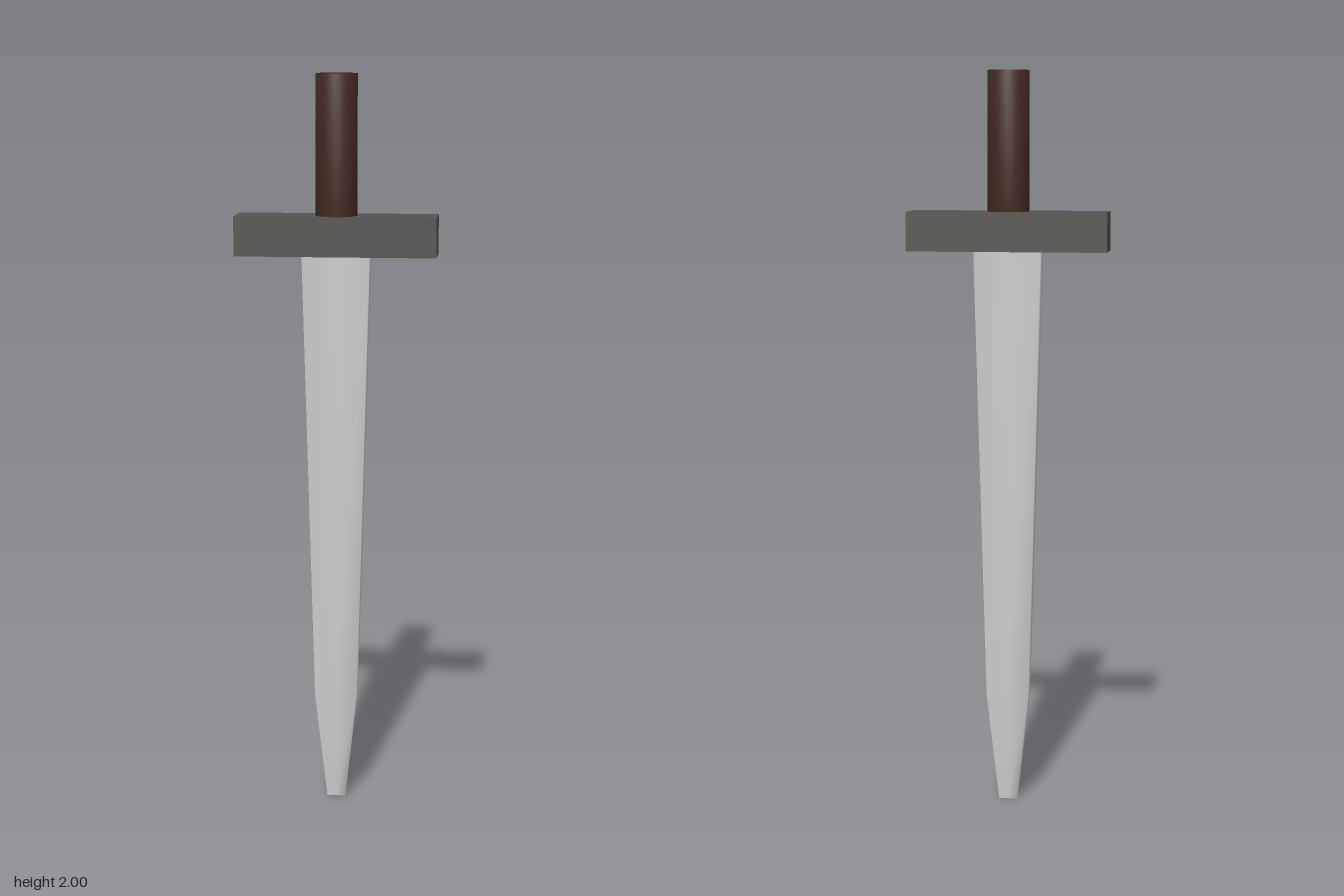
import * as THREE from 'three';
import { mergeVertices } from 'three/addons/utils/BufferGeometryUtils.js';

function part(name, geometry, color) {
  const mesh = new THREE.Mesh(geometry, new THREE.MeshStandardMaterial({ color }));
  mesh.name = name;
  return mesh;
}

// Box whose rows are tapered to the blade outline, then smoothed across its edges
function bladeGeometry() {
  const rows = [
    { y: 0, w: 0.025, d: 0.01 },
    { y: 0.3, w: 0.058, d: 0.024 },
    { y: 1.53, w: 0.091, d: 0.037 },
  ];
  const box = new THREE.BoxGeometry(2, 2, 2, 2, 2, 2);
  const pos = box.attributes.position;
  for (let i = 0; i < pos.count; i++) {
    const row = rows[Math.round(pos.getY(i)) + 1];
    pos.setXYZ(i, pos.getX(i) * row.w, row.y, pos.getZ(i) * row.d);
  }
  box.deleteAttribute('uv');
  box.deleteAttribute('normal');
  const geometry = mergeVertices(box);
  geometry.computeVertexNormals();
  return geometry;
}

export function createModel() {
  const model = new THREE.Group();
  model.name = 'dagger';

  // Blade, pointing down
  model.add(part('blade', bladeGeometry(), 0xcccccc));

  // Crossguard
  const guard = part('crossguard', new THREE.BoxGeometry(0.54, 0.106, 0.12), 0x555350);
  guard.position.y = 1.573;
  model.add(guard);

  // Round grip with a softly shaded flat end
  const profile = [[0, 1.6], [0.056, 1.6], [0.056, 2], [0, 2]].map(([r, y]) => new THREE.Vector2(r, y));
  model.add(part('grip', new THREE.LatheGeometry(profile, 32), 0x452921));

  return model;
}
